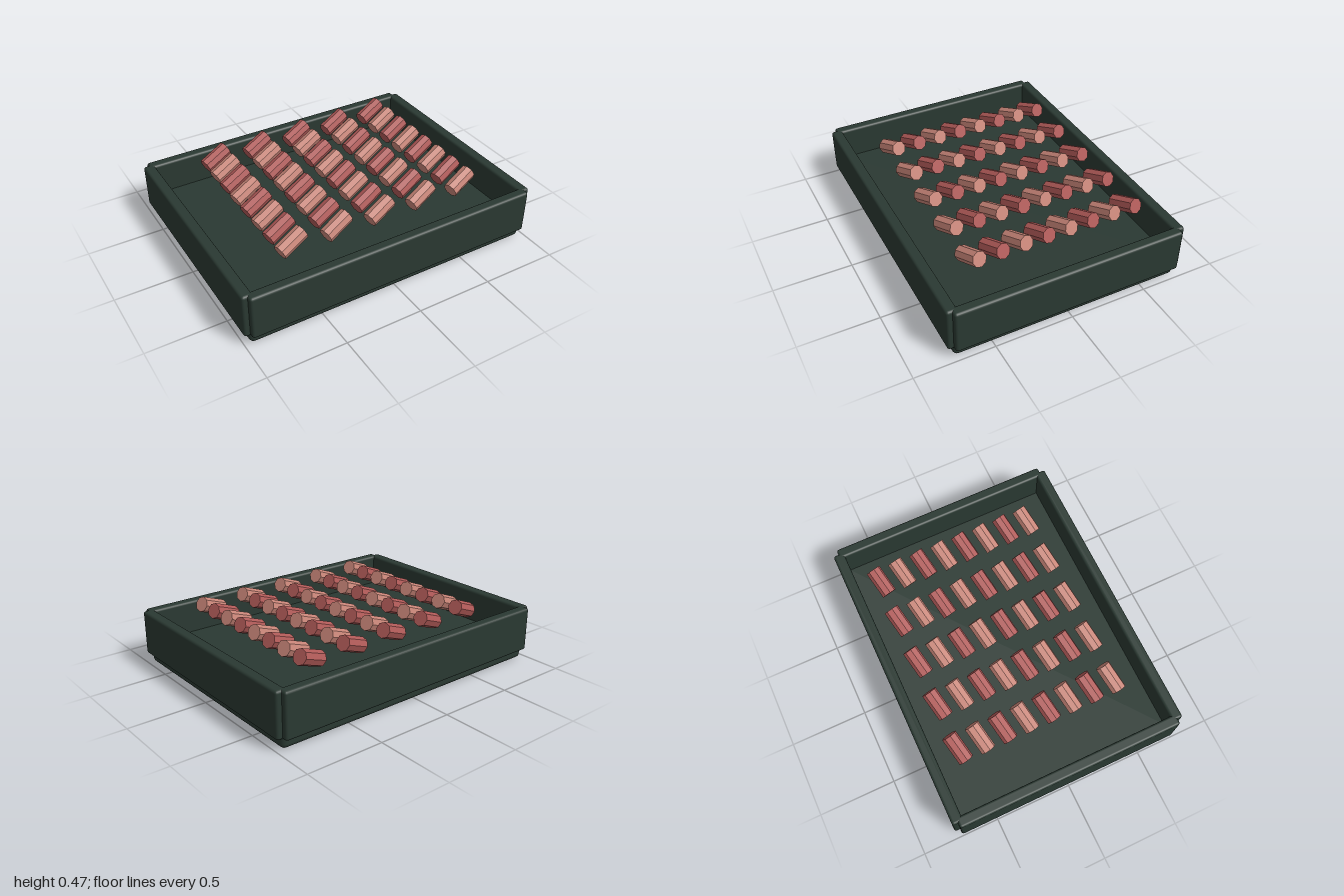
import * as THREE from 'three';
import { RoundedBoxGeometry } from 'three/addons/geometries/RoundedBoxGeometry.js';

const mat = (name, color, flatShading = false) => {
  const m = new THREE.MeshStandardMaterial({ color, flatShading });
  m.name = name;
  return m;
};

export function createModel() {
  const green = mat('dark green', 0x2a3932);
  const red = mat('dusky red', 0xb05a58, true);
  const pink = mat('salmon pink', 0xc88578, true);
  const model = new THREE.Group();
  model.name = 'trayOfSticks';

  const box = (name, w, h, d, r, x, y, z) => {
    const mesh = new THREE.Mesh(new RoundedBoxGeometry(w, h, d, 2, r), green);
    mesh.name = name;
    mesh.position.set(x, y, z);
    model.add(mesh);
  };

  // Tray: floor slab with four walls centred on its rim
  box('trayFloor', 1.93, 0.145, 1.48, 0.03, 0, 0.0725, 0);
  for (const s of [-1, 1]) {
    box(s > 0 ? 'frontWall' : 'backWall', 1.93, 0.289, 0.07, 0.016, 0, 0.2125, s * 0.74);
    box(s > 0 ? 'leftWall' : 'rightWall', 0.07, 0.289, 1.48, 0.016, s * 0.965, 0.2125, 0);
  }

  // Rows of short octagonal sticks, all tilted alike, in alternating colours
  const stick = new THREE.CylinderGeometry(0.049, 0.049, 0.182, 8);
  const tilt = new THREE.Quaternion().setFromEuler(
    new THREE.Euler(0, 0.22, -Math.PI / 2 + 0.38, 'YZX'));
  for (let row = 0; row < 8; row++) {
    for (let col = 0; col < 5; col++) {
      const mesh = new THREE.Mesh(stick, row % 2 ? pink : red);
      mesh.name = row % 2 ? 'pinkStick' : 'redStick';
      mesh.position.set(-0.561 + col * 0.3015, 0.387, -0.559 + row * 0.1486);
      mesh.quaternion.copy(tilt);
      model.add(mesh);
    }
  }
  return model;
}
